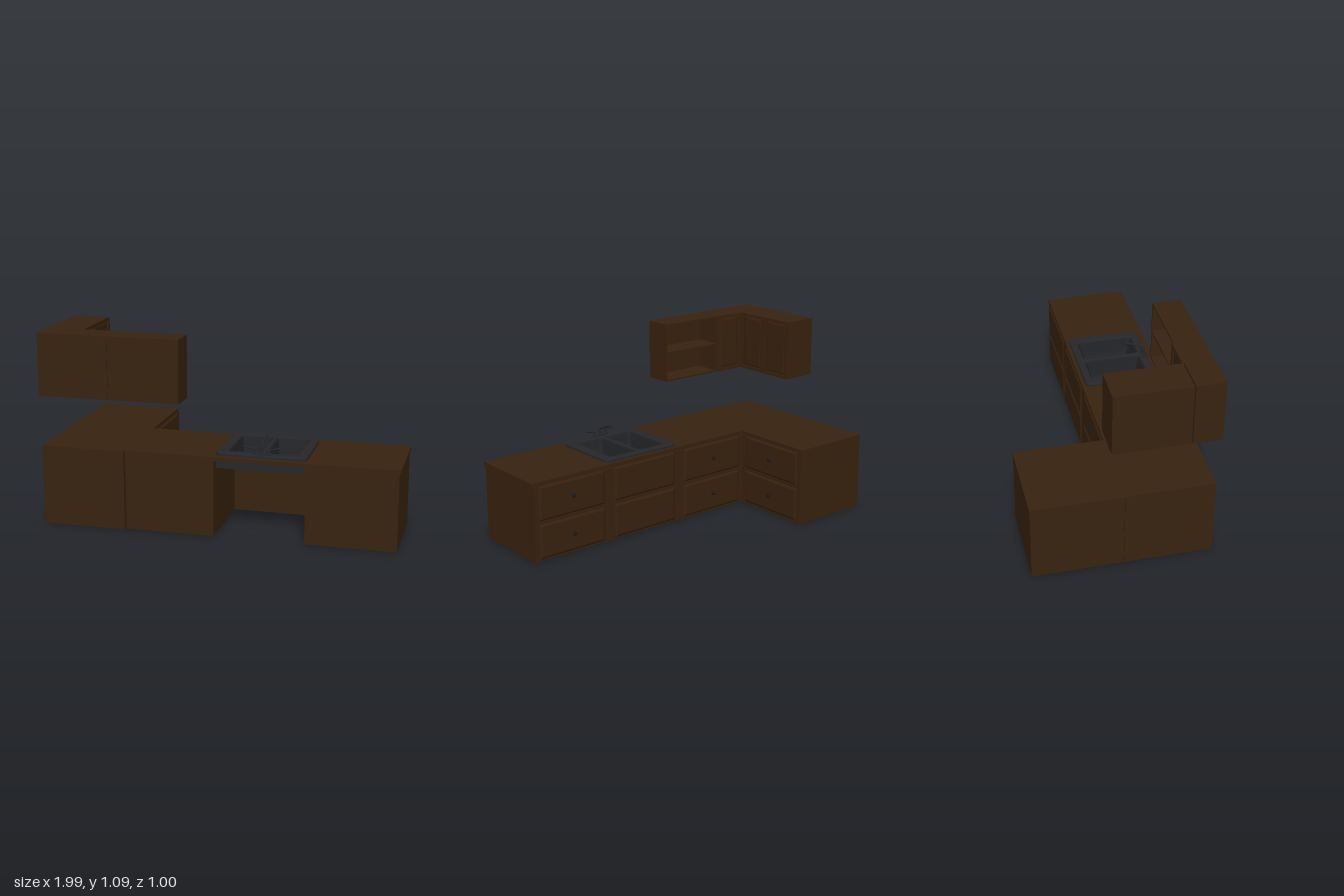
import * as THREE from 'three';

const wood = new THREE.MeshStandardMaterial({ color: 0x38220f });
const steel = new THREE.MeshStandardMaterial({ color: 0x26272a });
const black = new THREE.MeshStandardMaterial({ color: 0x1c1c1e });
const bowlMat = new THREE.MeshStandardMaterial({ color: 0x222326, side: THREE.DoubleSide });

function add(parent, name, geo, mat = wood) {
  const m = new THREE.Mesh(geo, mat);
  m.name = name;
  parent.add(m);
  return m;
}

// Box given by its limits on each axis
function box(parent, name, x0, x1, y0, y1, z0, z1, mat) {
  const m = add(parent, name, new THREE.BoxGeometry(x1 - x0, y1 - y0, z1 - z0), mat);
  m.position.set((x0 + x1) / 2, (y0 + y1) / 2, (z0 + z1) / 2);
  return m;
}

// Rounded rectangle outline, r = 0 gives square corners
function rect(x0, x1, y0, y1, r = 0, Type = THREE.Shape) {
  const s = new Type();
  if (!r) {
    s.moveTo(x0, y0).lineTo(x1, y0).lineTo(x1, y1).lineTo(x0, y1).closePath();
    return s;
  }
  s.absarc(x1 - r, y0 + r, r, -Math.PI / 2, 0);
  s.absarc(x1 - r, y1 - r, r, 0, Math.PI / 2);
  s.absarc(x0 + r, y1 - r, r, Math.PI / 2, Math.PI);
  s.absarc(x0 + r, y0 + r, r, Math.PI, Math.PI * 1.5);
  s.closePath();
  return s;
}

// Horizontal slab: shape drawn in x,z, from height y0 to y1
function slab(shape, y0, y1, bevel = 0) {
  const g = new THREE.ExtrudeGeometry(shape, {
    depth: y1 - y0 - bevel, curveSegments: 5, bevelEnabled: bevel > 0,
    bevelThickness: bevel, bevelSize: bevel, bevelOffset: -bevel, bevelSegments: 2,
  });
  g.rotateX(Math.PI / 2); // shape y becomes z, depth points down
  g.translate(0, y1 - bevel, 0);
  return g;
}

// Raised drawer front with sloped edges; local front is +z
function drawerFront(w, h, d) {
  const b = 0.011;
  const g = new THREE.ExtrudeGeometry(rect(-w / 2, w / 2, -h / 2, h / 2), {
    depth: 0.003, bevelThickness: d - 0.003, bevelSize: b, bevelOffset: -b, bevelSegments: 1,
  });
  return g;
}

const knobGeo = new THREE.LatheGeometry(
  [[0, 0], [0.006, 0], [0.006, 0.005], [0.013, 0.007], [0.013, 0.011], [0.008, 0.015], [0, 0.016]]
    .map(([x, y]) => new THREE.Vector2(x, y)), 14).rotateX(Math.PI / 2);

// Two stacked drawers, centred on local x = 0
function drawerStack(parent, name, knobs) {
  const g = new THREE.Group();
  g.name = name;
  parent.add(g);
  for (const [y0, y1, yk] of [[0.02, 0.215, 0.12], [0.236, 0.433, 0.34]]) {
    const f = add(g, 'drawerFront', drawerFront(0.43, y1 - y0, 0.009));
    f.position.set(0, (y0 + y1) / 2, 0);
    if (knobs) add(g, 'knob', knobGeo, black).position.set(0, yk, 0.01);
  }
  // Face frame: two stiles and a middle rail
  for (const s of [-1, 1]) box(g, 'stile', s * 0.234 - 0.012, s * 0.234 + 0.012, 0.004, 0.436, -0.006, 0.003);
  box(g, 'rail', -0.222, 0.222, 0.218, 0.233, -0.006, 0.003);
  return g;
}

// Framed door with a recessed panel, lower left corner at the origin
function door(parent, w, h) {
  const g = new THREE.Group();
  g.name = 'wallDoor';
  parent.add(g);
  const s = rect(0, w, 0, h);
  s.holes.push(rect(0.022, w - 0.022, 0.018, h - 0.018, 0, THREE.Path));
  add(g, 'doorFrame', new THREE.ExtrudeGeometry(s, { depth: 0.01, bevelEnabled: false }));
  const p = add(g, 'doorPanel', drawerFront(w - 0.05, h - 0.042, 0.006));
  p.position.set(w / 2, h / 2, 0);
  return g;
}

// Tapered open bowl lofted between rounded rectangles
function bowl(cx, cz) {
  const rings = [[0.09, 0.165, 0.471], [0.084, 0.158, 0.46], [0.076, 0.14, 0.385], [0.066, 0.13, 0.374]];
  const pos = [], idx = [];
  let n = 0;
  for (const [hx, hz, y] of rings) {
    const pts = rect(-hx, hx, -hz, hz, 0.02).getPoints(4);
    n = pts.length;
    for (const p of pts) pos.push(cx + p.x, y, cz + p.y);
  }
  for (let r = 0; r < rings.length - 1; r++) {
    for (let i = 0; i < n; i++) {
      const a = r * n + i, b = r * n + (i + 1) % n;
      idx.push(a, b, a + n, b, b + n, a + n);
    }
  }
  const c = pos.length / 3, last = (rings.length - 1) * n;
  pos.push(cx, 0.372, cz);
  for (let i = 0; i < n; i++) idx.push(last + i, last + (i + 1) % n, c);
  const g = new THREE.BufferGeometry();
  g.setAttribute('position', new THREE.Float32BufferAttribute(pos, 3));
  g.setIndex(idx);
  g.computeVertexNormals();
  return g;
}

function tube(parent, name, pts, r) {
  const path = new THREE.CurvePath();
  const v = pts.map((p) => new THREE.Vector3(...p));
  for (let i = 0; i < v.length - 1; i++) path.add(new THREE.LineCurve3(v[i], v[i + 1]));
  add(parent, name, new THREE.TubeGeometry(path, 24, r, 8), steel);
  for (const p of [v[0], v[v.length - 1]]) add(parent, name + 'End', new THREE.SphereGeometry(r, 8, 6), steel).position.copy(p);
}

function createSink(root) {
  const g = new THREE.Group();
  g.name = 'sink';
  root.add(g);
  const holes = (s) => {
    for (const cx of [0.135, 0.34]) s.holes.push(rect(cx - 0.09, cx + 0.09, 0.065, 0.395, 0.02, THREE.Path));
    return s;
  };
  add(g, 'sinkRim', slab(holes(rect(-0.015, 0.485, 0.022, 0.445, 0.035)), 0.452, 0.476, 0.008), steel);
  // Skirt below the counter
  add(g, 'sinkSkirt', slab(holes(rect(-0.012, 0.482, 0.03, 0.44)), 0.386, 0.452), steel);
  for (const cx of [0.135, 0.34]) {
    add(g, 'bowl', bowl(cx, 0.23), bowlMat);
    const drain = add(g, 'drain', new THREE.CylinderGeometry(0.018, 0.018, 0.003, 16), black);
    drain.position.set(cx, 0.375, 0.23);
  }
  // Faucet with two lever handles
  const z = 0.425;
  const f = new THREE.Group();
  f.name = 'faucet';
  root.add(f);
  add(f, 'faucetPlate', slab(rect(0.18, 0.295, z - 0.015, z + 0.015, 0.012), 0.474, 0.483), steel);
  add(f, 'faucetPost', new THREE.CylinderGeometry(0.008, 0.012, 0.045, 12), steel).position.set(0.237, 0.5, z);
  tube(f, 'spout', [[0.237, 0.5, z], [0.237, 0.519, z], [0.237, 0.557, 0.325], [0.237, 0.556, 0.316], [0.237, 0.546, 0.315]], 0.006);
  for (const s of [-1, 1]) {
    const x = 0.237 + s * 0.04;
    add(f, 'handlePost', new THREE.CylinderGeometry(0.007, 0.01, 0.03, 10), steel).position.set(x, 0.493, z);
    tube(f, 'lever', [[x, 0.505, z], [x + s * 0.03, 0.508, z], [x + s * 0.06, 0.514, z - 0.004]], 0.0045);
  }
}

export function createModel() {
  const root = new THREE.Group();
  root.name = 'cornerKitchen';

  // Base cabinets
  box(root, 'sideBase', -1, -0.516, 0.003, 0.436, -0.498, -0.001);
  box(root, 'cornerBase', -1, -0.525, 0.003, 0.436, 0.001, 0.487);
  box(root, 'middleBase', -0.519, -0.017, 0.006, 0.438, 0.005, 0.478);
  box(root, 'endBase', 0.486, 0.984, 0.006, 0.438, 0.005, 0.478);
  box(root, 'sinkBaseFront', -0.017, 0.486, 0.008, 0.438, 0.005, 0.02);

  // Countertops
  box(root, 'sideCounter', -1, -0.513, 0.436, 0.455, -0.5, 0);
  box(root, 'cornerCounter', -1, -0.523, 0.436, 0.455, 0, 0.487);
  const top = rect(-0.521, 0.992, 0, 0.48);
  top.holes.push(rect(0.03, 0.445, 0.06, 0.4, 0, THREE.Path));
  add(root, 'mainCounter', slab(top, 0.438, 0.458));

  // Drawers: the main run faces -z, the side run faces +x
  for (const [x, knobs] of [[-0.267, true], [0.237, false], [0.737, true]]) {
    const d = drawerStack(root, 'mainDrawers', knobs);
    d.position.set(x, 0, 0.003);
    d.rotation.y = Math.PI;
  }
  const d = drawerStack(root, 'sideDrawers', true);
  d.position.set(-0.511, 0, -0.25);
  d.rotation.y = Math.PI / 2;

  createSink(root);

  // Wall cabinets
  const y0 = 0.743, y1 = 1.092, t = 0.01;
  box(root, 'sideWallCabinet', -1, -0.802, y0, y1, -0.077, 0.336);
  for (const z of [0.336, 0.128]) {
    const w = door(root, 0.204, y1 - y0);
    w.position.set(-0.802, y0, z);
    w.rotation.y = Math.PI / 2;
  }
  box(root, 'cornerWallCabinet', -1, -0.602, y0, y1, 0.342, 0.5);
  const w = door(root, 0.188, y1 - y0);
  w.position.set(-0.602, y0, 0.342);
  w.rotation.y = Math.PI;

  // Open shelf unit
  const s = new THREE.Group();
  s.name = 'openShelf';
  root.add(s);
  box(s, 'shelfBack', -0.6, -0.2, y0, y1, 0.49, 0.5);
  for (const x of [-0.6, -0.2 - t]) box(s, 'shelfSide', x, x + t, y0, y1, 0.341, 0.49);
  for (const y of [y0, (y0 + y1 - t) / 2, y1 - t]) box(s, 'shelfBoard', -0.59, -0.21, y, y + t, 0.341, 0.49);

  return root;
}
